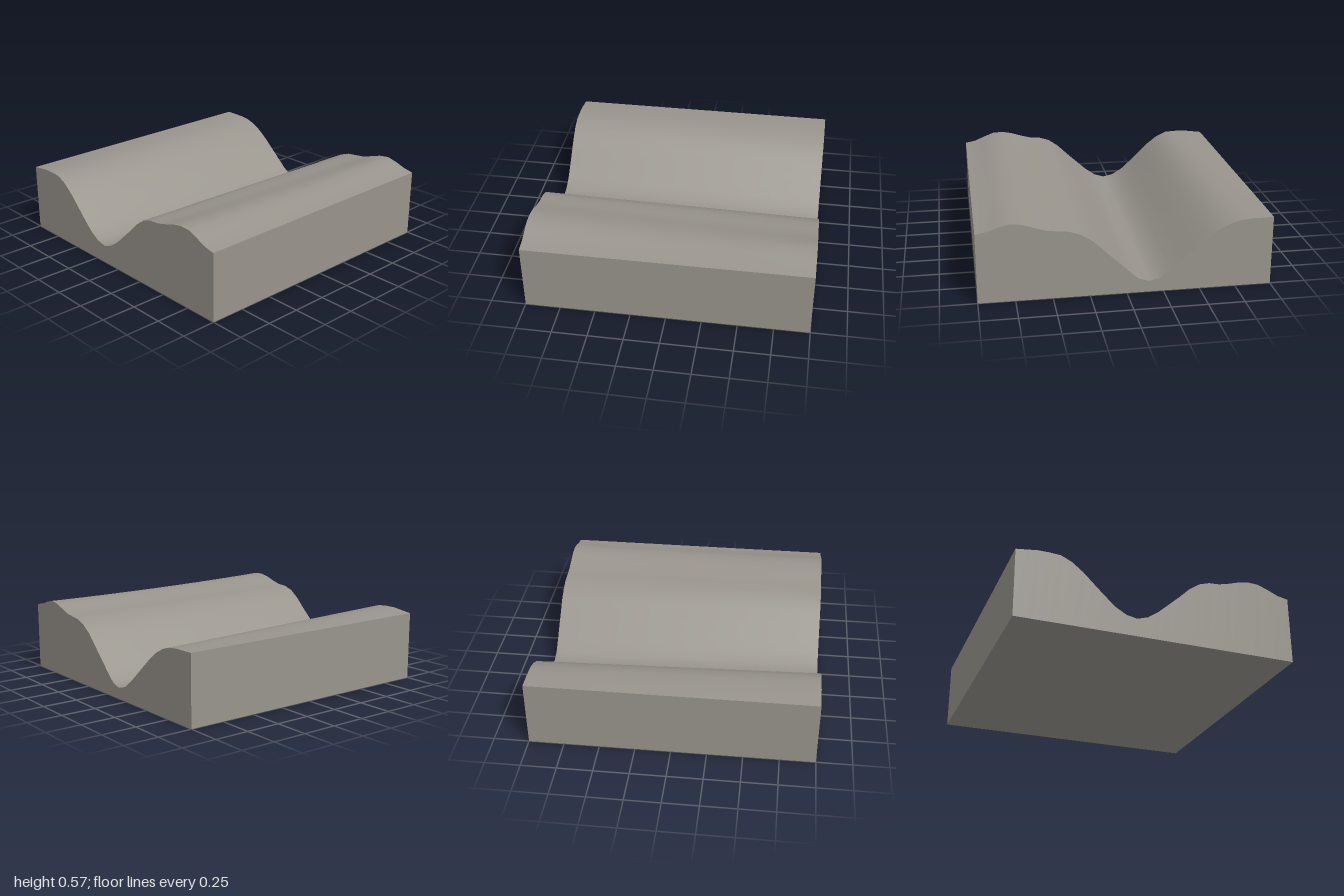
import * as THREE from 'three';

const SEGMENTS = 26;

// Heights across the block from -x to +x, at the front and back edges
const FRONT = [0.49, 0.5, 0.51, 0.51, 0.505, 0.47, 0.41, 0.335, 0.26, 0.19, 0.145, 0.13, 0.155, 0.21,
  0.28, 0.35, 0.425, 0.48, 0.505, 0.51, 0.53, 0.555, 0.57, 0.567, 0.538, 0.505, 0.49];
const BACK = [0.49, 0.489, 0.488, 0.48, 0.457, 0.415, 0.357, 0.29, 0.222, 0.155, 0.1, 0.078, 0.103, 0.173,
  0.248, 0.32, 0.395, 0.445, 0.472, 0.48, 0.49, 0.515, 0.54, 0.55, 0.532, 0.505, 0.49];

// Blend the two profiles along z, with a slight dip along the right-hand ridge
function groundHeight(x, z) {
  const i = Math.round((x + 1) / 2 * SEGMENTS);
  const t = (z + 1) / 2;
  const dip = 0.013 * 4 * t * (1 - t) * Math.exp(-(((x - 0.72) / 0.14) ** 2));
  return THREE.MathUtils.lerp(BACK[i], FRONT[i], t) - dip;
}

export function createModel() {
  const model = new THREE.Group();
  model.name = 'terrainBlock';

  const stone = new THREE.MeshStandardMaterial({ color: 0x98948c });
  stone.name = 'warm grey stone';

  // Solid block whose upper vertices follow the valley; the sides stay flat and sharp
  const geometry = new THREE.BoxGeometry(2, 1, 2, SEGMENTS, 1, SEGMENTS);
  const p = geometry.attributes.position;
  for (let i = 0; i < p.count; i++) {
    p.setY(i, p.getY(i) > 0 ? groundHeight(p.getX(i), p.getZ(i)) : 0);
  }
  geometry.computeVertexNormals();

  const valley = new THREE.Mesh(geometry, stone);
  valley.name = 'valleyGround';
  model.add(valley);
  return model;
}
